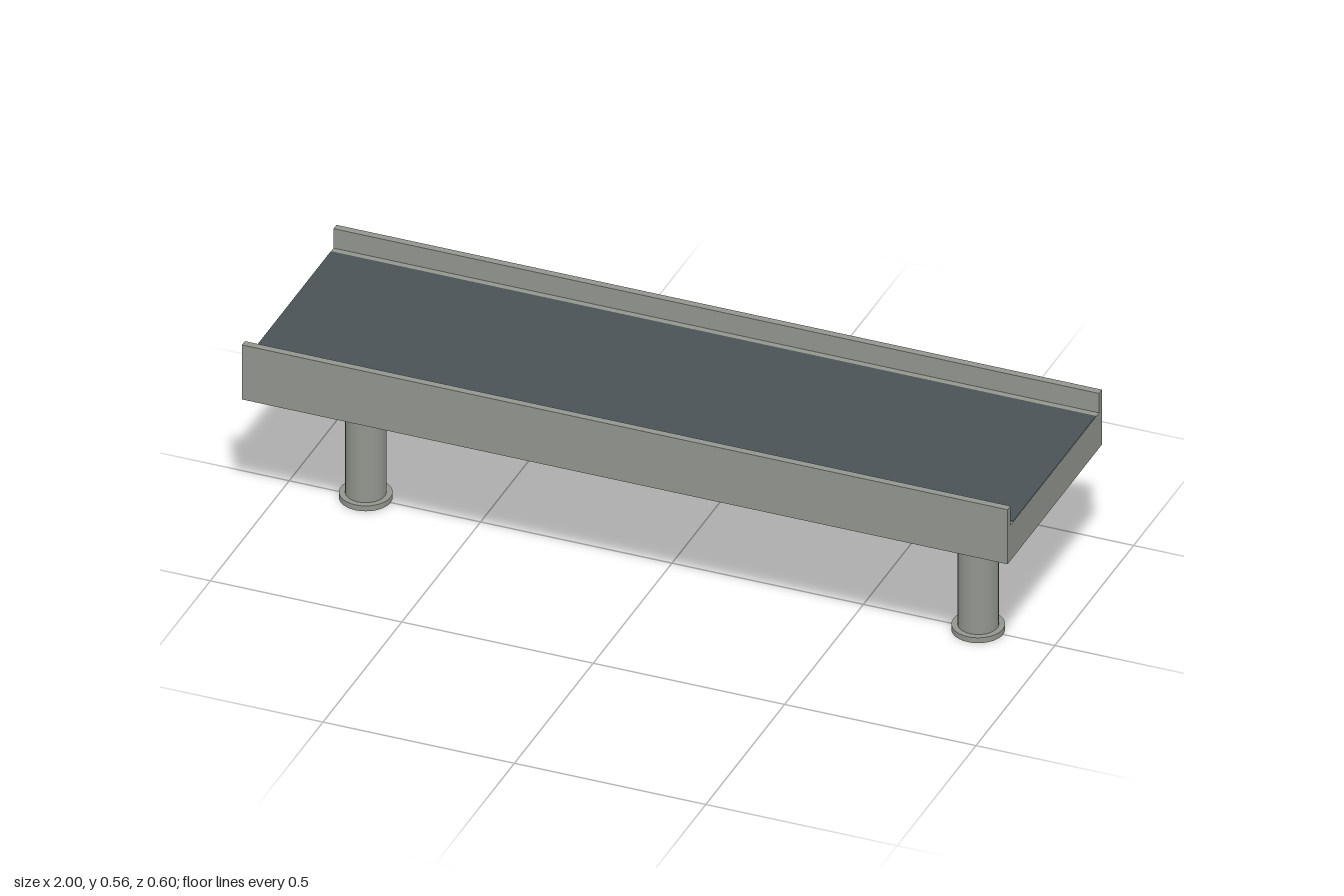
import * as THREE from 'three';

export function createModel() {
  const model = new THREE.Group();
  model.name = 'bridgeSection';
  const concrete = new THREE.MeshStandardMaterial({ color: 0x92968e });
  concrete.name = 'concrete';
  const asphalt = new THREE.MeshStandardMaterial({ color: 0x4a5257 });
  asphalt.name = 'asphalt';

  const add = (parent, name, geometry, material, x, y, z) => {
    const mesh = new THREE.Mesh(geometry, material);
    mesh.name = name;
    mesh.position.set(x, y, z);
    parent.add(mesh);
    return mesh;
  };

  // Deck slab and the thin road surface on it
  add(model, 'deck', new THREE.BoxGeometry(2, 0.1, 0.598), concrete, 0, 0.45, 0);
  add(model, 'roadSurface', new THREE.BoxGeometry(1.999, 0.003, 0.526), asphalt, 0, 0.5, 0);

  // Parapets overlap the slab's upper edge
  for (const side of [1, -1]) {
    add(model, side > 0 ? 'frontParapet' : 'backParapet',
      new THREE.BoxGeometry(2, 0.068, 0.019), concrete, 0, 0.521, side * 0.2905);
  }

  // Pillar profile: straight shaft, then a curve flaring out to the slab
  const flare = new THREE.QuadraticBezierCurve(
    new THREE.Vector2(0.05, 0.3), new THREE.Vector2(0.057, 0.346), new THREE.Vector2(0.1, 0.4));
  const shaftProfile = [new THREE.Vector2(0.05, 0.015), new THREE.Vector2(0.05, 0.29), ...flare.getPoints(8)];

  for (const side of [1, -1]) {
    const pillar = new THREE.Group();
    pillar.name = side > 0 ? 'leftPillar' : 'rightPillar';
    pillar.position.x = side * 0.8;
    add(pillar, 'shaft', new THREE.LatheGeometry(shaftProfile, 32), concrete, 0, 0, 0);
    add(pillar, 'foot', new THREE.CylinderGeometry(0.065, 0.065, 0.015, 32), concrete, 0, 0.0075, 0);
    model.add(pillar);
  }
  return model;
}
